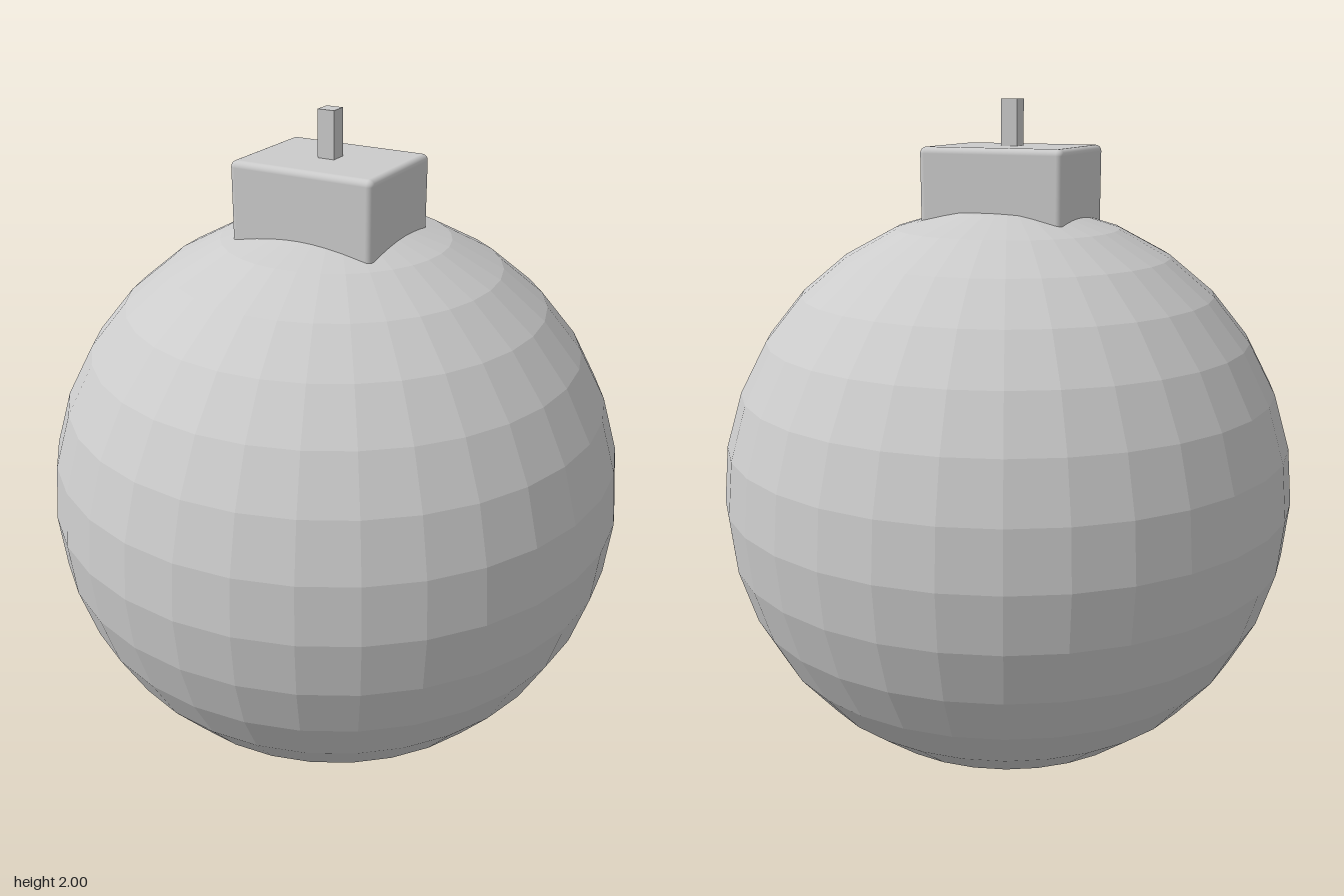
import * as THREE from 'three';
import { RoundedBoxGeometry } from 'three/addons/geometries/RoundedBoxGeometry.js';

export function createModel() {
  const group = new THREE.Group();
  const smooth = new THREE.MeshStandardMaterial({ color: 0xcccccc });
  const faceted = new THREE.MeshStandardMaterial({ color: 0xcccccc, flatShading: true });

  const add = (name, geometry, material, x, y, z) => {
    const mesh = new THREE.Mesh(geometry, material);
    mesh.name = name;
    mesh.position.set(x, y, z);
    group.add(mesh);
  };

  // Faceted round body resting on the ground
  const radius = 0.853;
  add('body', new THREE.SphereGeometry(radius, 32, 16), faceted, 0, radius, 0);

  // Softly rounded cap, sunk into the top of the body and set slightly forward
  const capTop = 1.87, capHeight = 0.4;
  add('cap', new RoundedBoxGeometry(0.435, capHeight, 0.34, 4, 0.018), smooth,
    0, capTop - capHeight / 2, 0.032);

  // Square fuse peg standing on the cap
  const fuseHeight = 0.2;
  add('fuse', new THREE.BoxGeometry(0.05, fuseHeight, 0.05), faceted,
    0, 2 - fuseHeight / 2, 0.032);

  return group;
}
